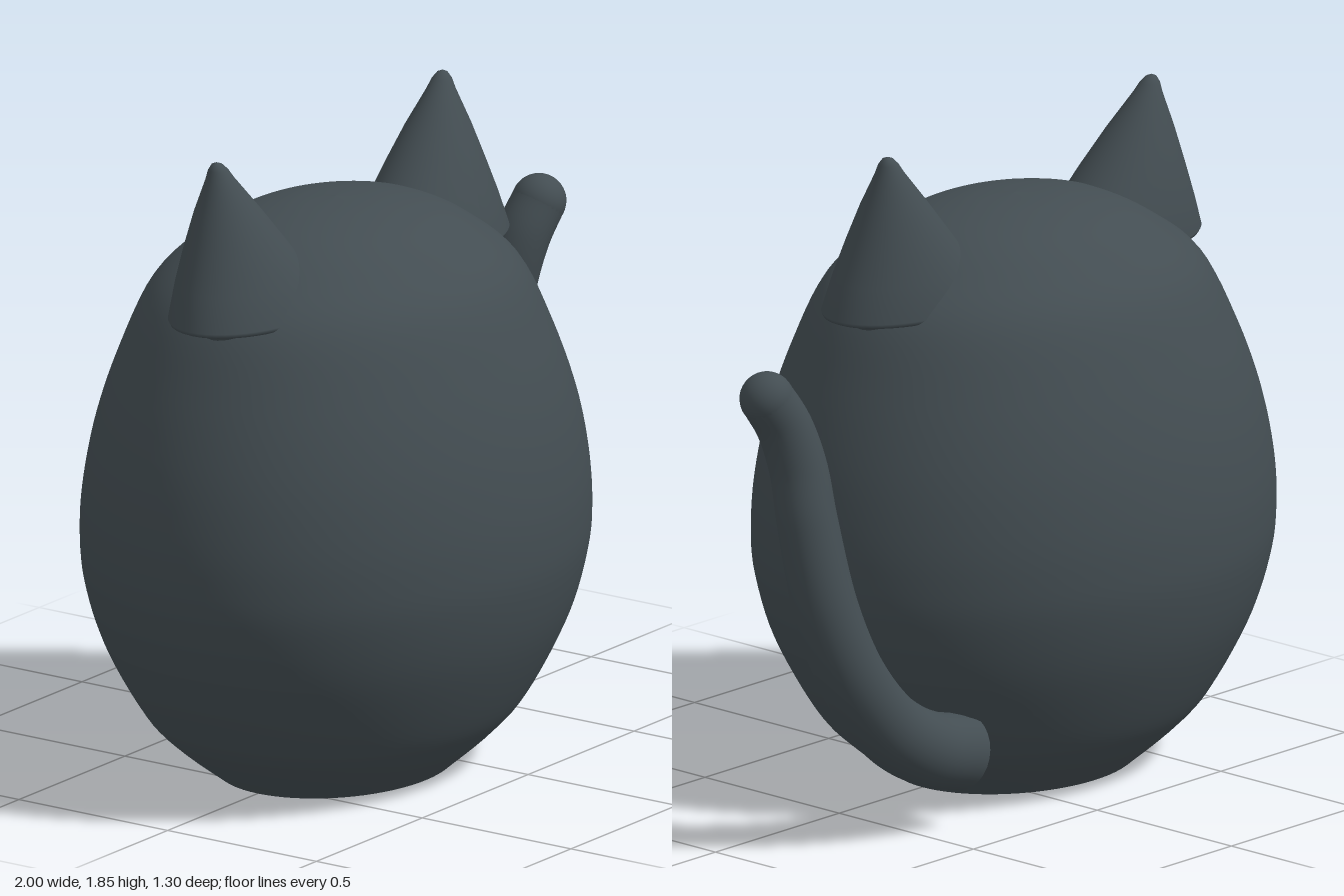
import * as THREE from 'three';

const V2 = (p) => new THREE.Vector2(p[0], p[1]);
const CENTER_X = -0.205;

// Smooth lathe from a few [radius, height] points, bottom to top
function smoothLathe(points, steps, sides) {
  const curve = new THREE.SplineCurve(points.map(V2));
  const profile = curve.getPoints(steps);
  profile.forEach((p) => { p.x = Math.max(p.x, 0); });
  return new THREE.LatheGeometry(profile, sides);
}

// Ear: a soft cone, sheared outwards and flatter towards its base
function earGeometry(side) {
  const profile = [
    [0.165, -0.09], [0.19, -0.03], [0.205, -0.008], [0.22, 0], [0.268, 0], [0.277, 0.004],
    [0.28, 0.015], [0.222, 0.11], [0.16, 0.21], [0.1, 0.31], [0.042, 0.405],
    [0.029, 0.432], [0.015, 0.449], [0, 0.455],
  ];
  const geo = new THREE.LatheGeometry(profile.map(V2), 48);
  const pos = geo.attributes.position;
  for (let i = 0; i < pos.count; i++) {
    const y = pos.getY(i);
    const flat = 0.655 + 0.7 * Math.max(y, 0);
    pos.setX(i, pos.getX(i) + side * (0.42 + 0.25 * y));
    pos.setZ(i, pos.getZ(i) * flat + 0.01 - 0.07 * y);
  }
  geo.computeVertexNormals();
  return geo;
}

// Tail: a tube whose rings shrink towards the tip
function tailGeometry(curve, rings, sides, r0, r1) {
  const geo = new THREE.TubeGeometry(curve, rings, 1, sides);
  const pos = geo.attributes.position;
  const v = new THREE.Vector3();
  for (let i = 0; i < pos.count; i++) {
    const t = Math.floor(i / (sides + 1)) / rings;
    const c = curve.getPointAt(t);
    v.fromBufferAttribute(pos, i).sub(c).multiplyScalar(r0 + (r1 - r0) * t).add(c);
    pos.setXYZ(i, v.x, v.y, v.z);
  }
  return geo;
}

export function createModel() {
  const group = new THREE.Group();
  const slate = new THREE.MeshStandardMaterial({ color: 0x434d52 });
  slate.name = 'slate grey';

  const add = (parent, name, geo) => {
    const mesh = new THREE.Mesh(geo, slate);
    mesh.name = name;
    parent.add(mesh);
    return mesh;
  };

  // Egg-shaped body with an oval plan and a flatter crown
  const body = new THREE.Group();
  body.name = 'body';
  body.position.x = CENTER_X;
  body.scale.set(0.795, 1, 0.65);
  group.add(body);
  add(body, 'belly', smoothLathe([
    [0.465, 0], [0.635, 0.1], [0.76, 0.2], [0.91, 0.4], [0.985, 0.58], [1, 0.72], [0.985, 0.86],
    [0.94, 1.02], [0.855, 1.2], [0.73, 1.39], [0.565, 1.5], [0.4, 1.57], [0.2, 1.608], [0, 1.62],
  ], 72, 72));
  add(body, 'base', new THREE.CircleGeometry(0.465, 72).rotateX(Math.PI / 2));

  // Ears, mirrored about the middle of the body
  for (const side of [-1, 1]) {
    const ear = add(group, side > 0 ? 'leftEar' : 'rightEar', earGeometry(side));
    ear.position.set(CENTER_X, 1.39, 0);
  }

  // Upright curling tail with a flat root and a round tip
  const tail = new THREE.Group();
  tail.name = 'tail';
  group.add(tail);
  const path = new THREE.CatmullRomCurve3([
    [0.33, 0.2, -0.295], [0.47, 0.24, -0.295], [0.62, 0.335, -0.29], [0.75, 0.5, -0.28],
    [0.822, 0.7, -0.25], [0.845, 0.95, -0.2], [0.845, 1.1, -0.165], [0.873, 1.22, -0.138],
    [0.922, 1.305, -0.12],
  ].map((p) => new THREE.Vector3(...p)));
  add(tail, 'tailStem', tailGeometry(path, 64, 28, 0.108, 0.075));
  add(tail, 'tailTip', new THREE.SphereGeometry(0.0755, 28, 20)).position.copy(path.getPoint(1));
  const root = add(tail, 'tailRoot', new THREE.CircleGeometry(0.108, 28));
  root.position.copy(path.getPoint(0));
  root.lookAt(path.getPoint(0).sub(path.getTangent(0)));

  return group;
}
